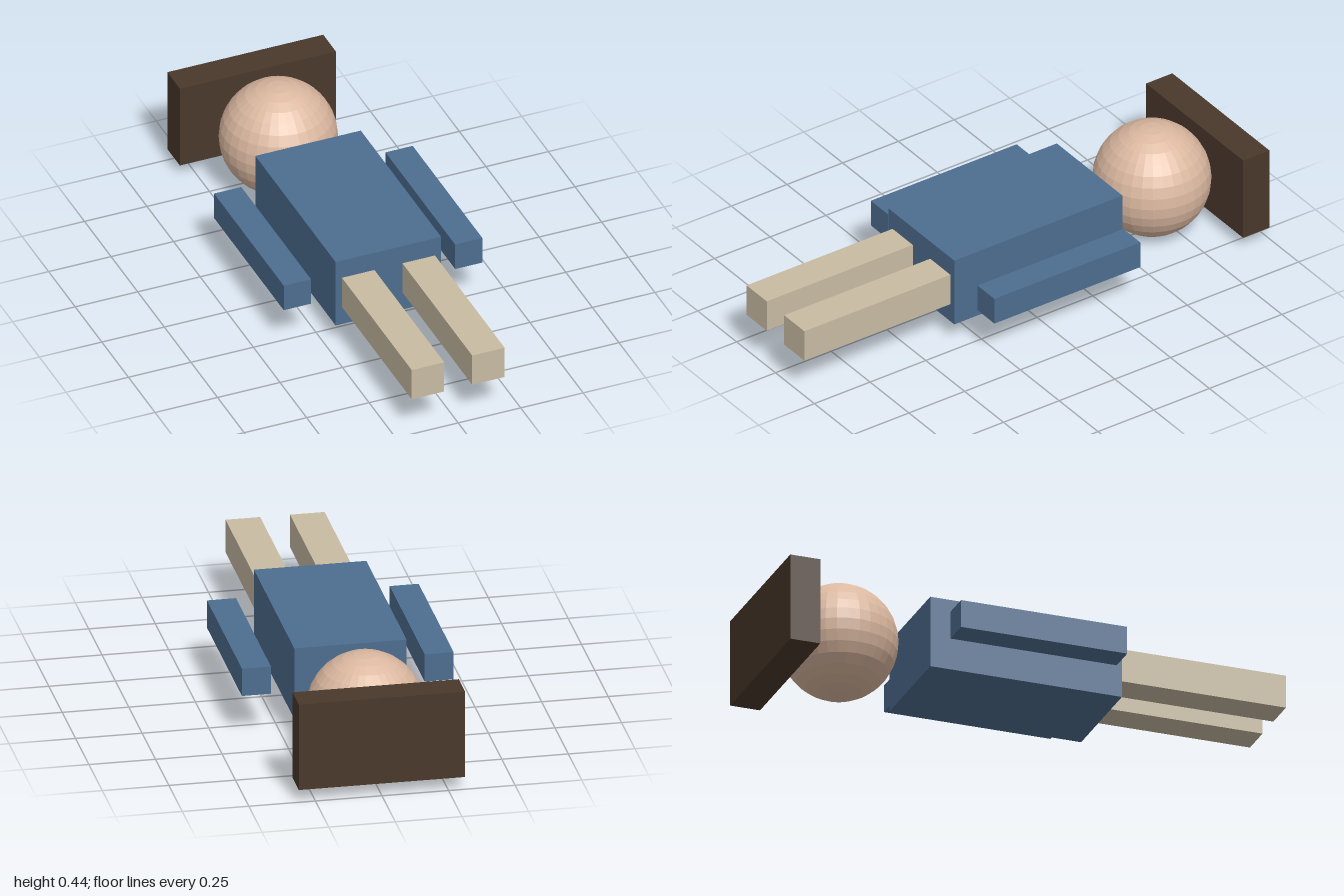
import * as THREE from 'three';

const MID = 0.222; // height of the lying figure's axis

export function createModel() {
  const group = new THREE.Group();
  const material = (color) => new THREE.MeshStandardMaterial({ color, flatShading: true });
  const shirt = material(0x4d6d8f);
  const trousers = material(0xc8bba3);
  const skin = material(0xdbb8a0);
  const brown = material(0x4a382b);

  const add = (name, geometry, mat, x, z) => {
    const mesh = new THREE.Mesh(geometry, mat);
    mesh.name = name;
    mesh.position.set(x, MID, z);
    group.add(mesh);
  };

  // Torso, head and the flat hat behind the head
  add('torso', new THREE.BoxGeometry(0.422, 0.282, 0.755), shirt, 0, -0.033);
  add('head', new THREE.SphereGeometry(0.22, 32, 16), skin, 0, -0.69);
  add('hat', new THREE.BoxGeometry(0.624, 0.342, 0.118), brown, 0, -0.941);

  // Mirrored arms and legs
  for (const [side, s] of [['left', 1], ['right', -1]]) {
    add(side + 'Arm', new THREE.BoxGeometry(0.109, 0.109, 0.655), shirt, s * 0.343, -0.033);
    add(side + 'Leg', new THREE.BoxGeometry(0.13, 0.13, 0.66), trousers, s * 0.121, 0.67);
  }
  return group;
}
